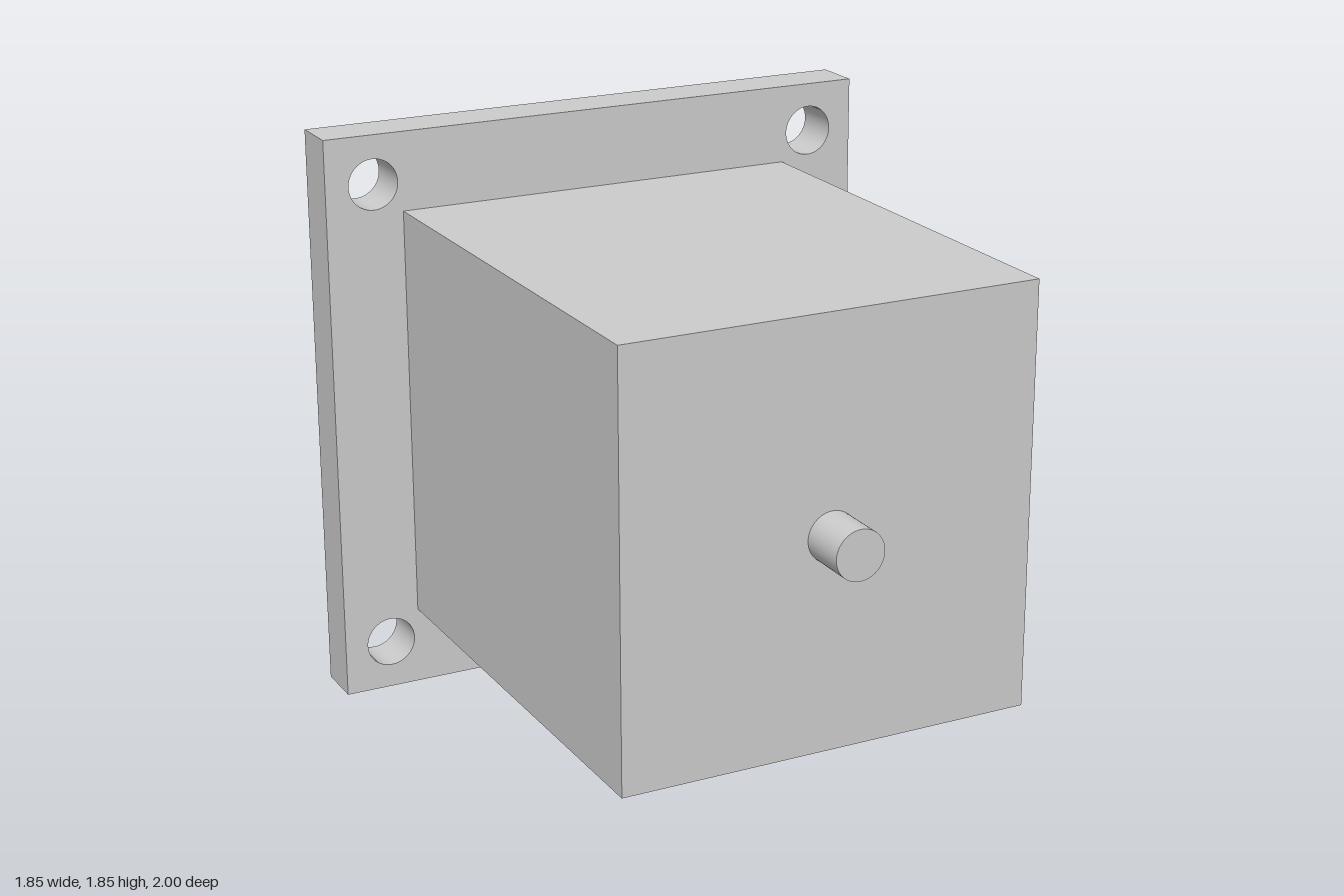
import * as THREE from 'three';
import { toCreasedNormals } from 'three/addons/utils/BufferGeometryUtils.js';

const HALF = 0.924;        // half width of the flange plate
const PLATE_BACK = -0.84;
const PLATE_FRONT = -0.68;
const BODY_FRONT = 0.84;

export function createModel() {
  const group = new THREE.Group();
  const material = new THREE.MeshStandardMaterial({ color: 0xcccccc });

  const add = (name, geometry, z) => {
    const mesh = new THREE.Mesh(geometry, material);
    mesh.name = name;
    mesh.position.set(0, HALF, z);
    group.add(mesh);
  };

  // Square flange with a pilot bore, four mounting holes and four screw holes
  const plate = new THREE.Shape([
    new THREE.Vector2(-HALF, -HALF),
    new THREE.Vector2(HALF, -HALF),
    new THREE.Vector2(HALF, HALF),
    new THREE.Vector2(-HALF, HALF),
  ]);
  const drill = (x, y, radius) =>
    plate.holes.push(new THREE.Path().absarc(x, y, radius, 0, Math.PI * 2, true));
  drill(0, 0, 0.365);
  for (const sx of [-1, 1]) {
    for (const sy of [-1, 1]) {
      drill(sx * 0.767, sy * 0.767, 0.081);
      drill(sx * 0.49, sy * 0.49, 0.055);
    }
  }
  const plateGeometry = new THREE.ExtrudeGeometry(plate, {
    depth: PLATE_FRONT - PLATE_BACK,
    bevelEnabled: false,
    curveSegments: 24,
  });
  add('mountingFlange', toCreasedNormals(plateGeometry, 0.5), PLATE_BACK);

  // Motor housing in front of the flange
  const bodyLength = BODY_FRONT - PLATE_FRONT;
  add('housing', new THREE.BoxGeometry(1.342, 1.342, bodyLength), (BODY_FRONT + PLATE_FRONT) / 2);

  // Shaft ends: the rear one starts on the housing face inside the bore
  const addShaft = (name, from, to) => {
    const shaft = new THREE.CylinderGeometry(0.079, 0.079, to - from, 48).rotateX(Math.PI / 2);
    add(name, shaft, (from + to) / 2);
  };
  addShaft('frontShaft', BODY_FRONT, 1);
  addShaft('rearShaft', -1, PLATE_FRONT);

  return group;
}
